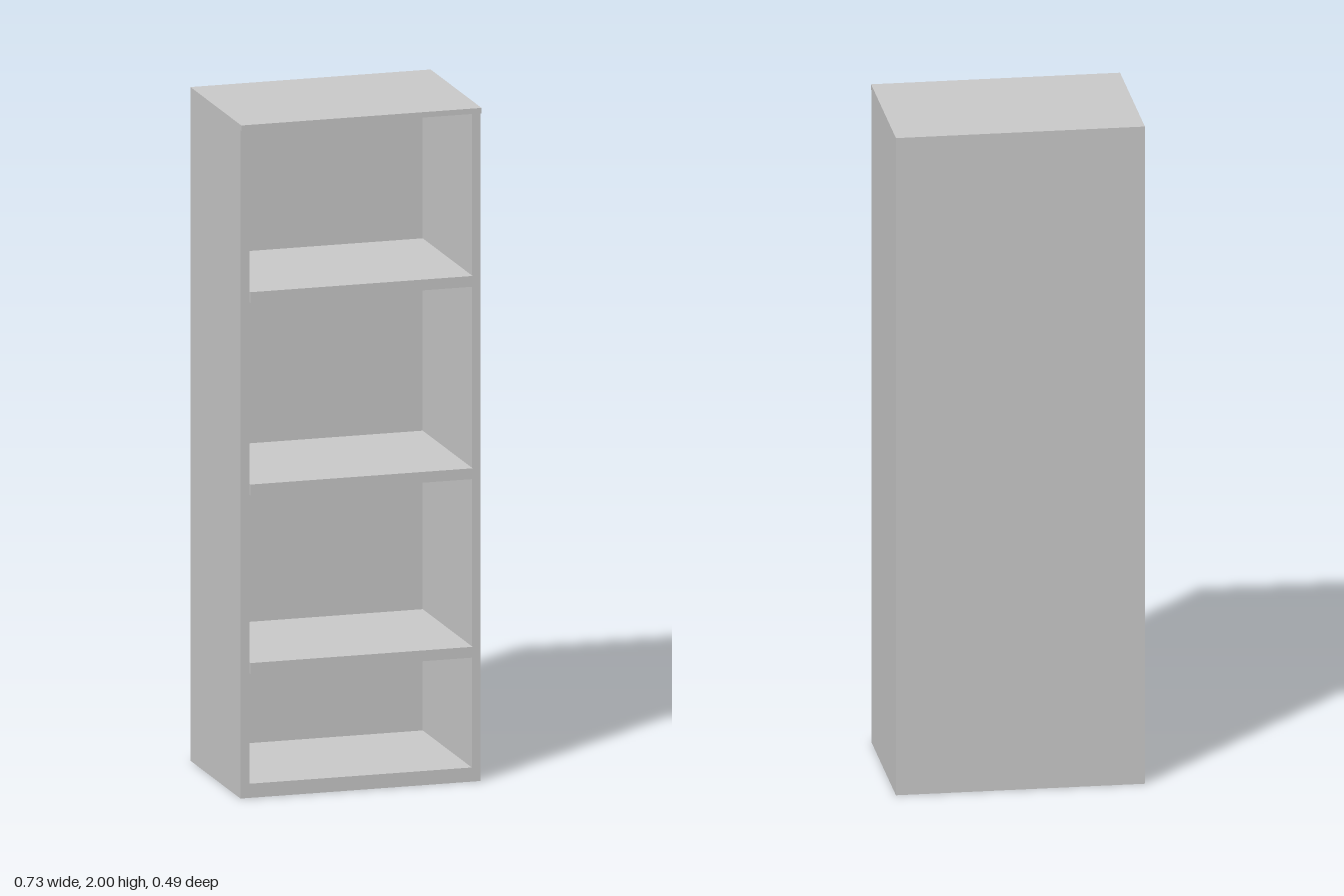
import * as THREE from 'three';

const WIDTH = 0.726, HEIGHT = 2, BACK = -0.247, FRONT = 0.247;
const BODY_FRONT = 0.239;            // front edge of the carcass, behind the shelf lips
const SIDE = 0.027, TOP = 0.016, BASE = 0.042, BACK_PANEL = 0.01, SHELF = 0.032;

export function createModel() {
  const group = new THREE.Group();
  group.name = 'bookcase';
  const material = new THREE.MeshStandardMaterial({ color: 0xcccccc });

  // Board given by its extents on each axis
  const board = (name, x0, x1, y0, y1, z0, z1) => {
    const mesh = new THREE.Mesh(new THREE.BoxGeometry(x1 - x0, y1 - y0, z1 - z0), material);
    mesh.position.set((x0 + x1) / 2, (y0 + y1) / 2, (z0 + z1) / 2);
    mesh.name = name;
    group.add(mesh);
  };

  const half = WIDTH / 2, inner = half - SIDE, under = HEIGHT - TOP;
  const innerBack = BACK + BACK_PANEL;

  // Carcass
  board('leftSide', inner, half, 0, under, BACK, BODY_FRONT);
  board('rightSide', -half, -inner, 0, under, BACK, BODY_FRONT);
  board('backPanel', -inner, inner, 0, under, BACK, innerBack);
  board('base', -inner, inner, 0, BASE, innerBack, BODY_FRONT);

  // Top board and shelves stand slightly proud of the sides
  board('top', -half, half, under, HEIGHT, BACK, FRONT);
  [0.37, 0.9, 1.471].forEach((y, i) =>
    board(`shelf${i + 1}`, -inner, inner, y, y + SHELF, innerBack, FRONT));

  return group;
}
